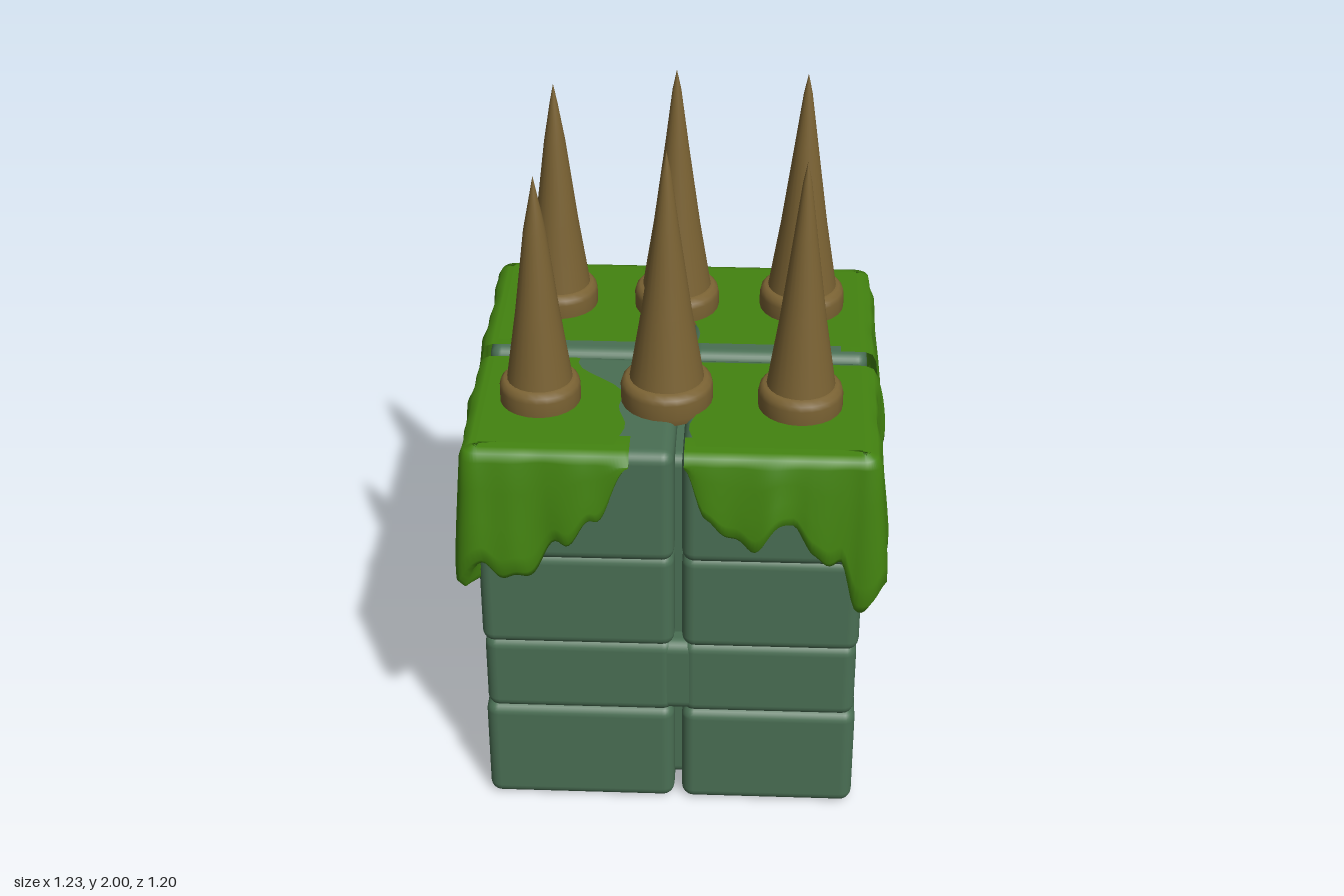
import * as THREE from 'three';
import { RoundedBoxGeometry } from 'three/addons/geometries/RoundedBoxGeometry.js';

const stone = new THREE.MeshStandardMaterial({ color: 0x4a6f54 });
stone.name = 'greenStone';
const moss = new THREE.MeshStandardMaterial({ color: 0x438310, side: THREE.DoubleSide });
moss.name = 'moss';
const horn = new THREE.MeshStandardMaterial({ color: 0x7a6233, side: THREE.DoubleSide });
horn.name = 'brownSpike';

function add(parent, name, geometry, material) {
  const mesh = new THREE.Mesh(geometry, material);
  mesh.name = name;
  parent.add(mesh);
  return mesh;
}

// Rounded block between two corners
function block(parent, name, x0, x1, y0, y1, z0, z1) {
  const geo = new RoundedBoxGeometry(x1 - x0, y1 - y0, z1 - z0, 3, 0.035);
  add(parent, name, geo, stone).position.set((x0 + x1) / 2, (y0 + y1) / 2, (z0 + z1) / 2);
}

// Height of a drip outline at u, eased between its points
function outline(points, u) {
  const i = Math.max(1, points.findIndex(p => p.x >= u));
  const a = points[i - 1], b = points[i];
  return a.y + (b.y - a.y) * THREE.MathUtils.smoothstep(u, a.x, b.x);
}

// Moss skirt hung around the outer corner of one column:
// faceZ runs [|x|, y] from the seam to the corner, faceX runs [|z|, y] back to the other seam
function skirt(sx, sz, faceZ, faceX) {
  const X = 0.575, Z = sz > 0 ? 0.565 : 0.55, r = 0.05, columns = 100;
  const points = [
    ...faceZ.map(([x, y]) => new THREE.Vector2(x, y)),
    ...faceX.map(([z, y]) => new THREE.Vector2(X + Z - z, y)),
  ];
  const start = points[0].x, end = points[points.length - 1].x;
  const positions = [], index = [];
  let rows = 0;
  for (let i = 0; i <= columns; i++) {
    const u = Math.min(end, start + (end - start) * i / columns);
    const edge = outline(points, u);
    const depth = Math.min(1, (1.24 - edge) / 0.3);
    const low = edge + 0.016 * depth * Math.sin(u * 63 + sx + sz);
    const x = Math.min(u, X), z = u < X ? Z : Z - (u - X);
    const cx = Math.min(x, X - r), cz = Math.min(z, Z - r);
    const len = Math.hypot(x - cx, z - cz);
    const nx = (x - cx) / len, nz = (z - cz) / len;
    const wave = 0.009 * Math.sin(u * 17 + sx * 2 + sz) + 0.006 * Math.sin(u * 41 + sz * 3);
    const bulge = 0.028 * depth + wave;
    const y = t => 1.21 + (low - 1.21) * t;
    const section = [
      [-0.1, 1.243], [-0.03, 1.242], [-0.008, 1.233], [0.002 + wave * 0.5, 1.21],
      [bulge * 0.4, y(0.25)], [bulge * 0.75, y(0.55)], [bulge, y(0.8)],
      [bulge, y(0.93)], [bulge * 0.6 - 0.008, y(1)], [-0.06, y(0.96)],
    ];
    rows = section.length;
    for (const [d, h] of section) {
      positions.push(sx * (cx + nx * (r + d)), h, sz * (cz + nz * (r + d)));
    }
  }
  for (let i = 0; i < columns; i++) {
    for (let j = 0; j < rows - 1; j++) {
      const a = i * rows + j, b = a + rows;
      if (sx * sz > 0) index.push(a, a + 1, b, b, a + 1, b + 1);
      else index.push(a, b, a + 1, b, b + 1, a + 1);
    }
  }
  const geo = new THREE.BufferGeometry();
  geo.setAttribute('position', new THREE.Float32BufferAttribute(positions, 3));
  geo.setIndex(index);
  geo.computeVertexNormals();
  return geo;
}

// Flat moss sheet on a column, its inner edge running from xNear (at the seam) to xFar
function sheet(sx, sz, xNear, xFar, zNear) {
  const shape = new THREE.Shape();
  shape.moveTo(sx * 0.53, -sz * 0.51);
  shape.lineTo(sx * 0.53, -sz * zNear);
  for (let i = 0; i <= 16; i++) {
    const t = i / 16;
    const x = xNear + (xFar - xNear) * THREE.MathUtils.smoothstep(t, 0, 0.5) + 0.012 * Math.sin(t * 14);
    shape.lineTo(sx * x, -sz * (zNear + (0.51 - zNear) * t));
  }
  return new THREE.ShapeGeometry(shape).rotateX(-Math.PI / 2).translate(0, 1.243, 0);
}

// Moss on one column: sheet on top, drips down its two outer faces
function mossCap(parent, name, sx, sz, [xNear, xFar, zNear], faceZ, faceX) {
  const cap = new THREE.Group();
  cap.name = name;
  parent.add(cap);
  add(cap, 'mossTop', sheet(sx, sz, xNear, xFar, zNear), moss);
  add(cap, 'mossDrips', skirt(sx, sz, faceZ, faceX), moss);
}

// Spike with a collar
function spike(parent, x, z, r, tip) {
  const group = new THREE.Group();
  group.name = 'spike';
  group.position.set(x, 0, z);
  parent.add(group);
  const lathe = pts => new THREE.LatheGeometry(pts.map(([a, b]) => new THREE.Vector2(a, b)), 24);
  add(group, 'spikeCollar', lathe([[r * 0.96, 1.22], [r, 1.24], [r, 1.285], [r * 0.97, 1.3],
    [r * 0.88, 1.312], [r * 0.7, 1.312]]), horn);
  add(group, 'spikeCone', lathe([[r * 0.82, 1.3], [r * 0.54, 1.52], [r * 0.27, 1.77],
    [r * 0.1, tip - 0.06], [0, tip]]), horn);
}

export function createModel() {
  const model = new THREE.Group();
  model.name = 'mossySpikeBlock';

  // Four columns of four stone blocks, around a recessed core
  const body = new THREE.Group();
  body.name = 'stoneBody';
  model.add(body);
  for (const [y0, y1, w] of [[0.005, 0.345, 0.54], [0.33, 0.585, 0.535], [0.57, 0.89, 0.54], [0.875, 1.237, 0.552]]) {
    for (const [x0, x1] of [[-w, 0.012], [0.034, w]]) {
      block(body, 'stoneBlock', x0, x1, y0, y1, 0.017, w);
      block(body, 'stoneBlock', x0, x1, y0, y1, 0.018 - w, 0.004);
    }
  }
  block(body, 'stoneCore', -0.47, 0.47, 0.04, 1.18, -0.46, 0.47);
  block(body, 'stoneBridge', -0.14, 0.14, 0.335, 0.58, -0.515, 0.532);

  // Moss caps
  mossCap(model, 'frontRightMoss', -1, 1, [0.28, 0.14, 0.05],
    [[0.11, 1.21], [0.21, 1.02], [0.3, 0.95], [0.42, 0.83], [0.52, 0.87]],
    [[0.53, 0.78], [0.48, 0.87], [0.42, 0.78], [0.28, 0.86], [0.05, 1.15]]);
  mossCap(model, 'frontLeftMoss', 1, 1, [0.05, 0.06, 0.06],
    [[0.04, 1.2], [0.1, 1.03], [0.22, 0.95], [0.34, 1.04], [0.4, 0.92], [0.47, 0.91], [0.52, 0.75]],
    [[0.53, 0.79], [0.4, 0.86], [0.28, 0.88], [0.2, 0.82], [0.15, 1.02], [0.06, 1.18]]);
  mossCap(model, 'backLeftMoss', 1, -1, [0.05, 0.05, 0.05],
    [[0.04, 1.2], [0.12, 0.85], [0.26, 1.07], [0.36, 0.9], [0.43, 0.98], [0.49, 0.84]],
    [[0.53, 0.88], [0.45, 0.74], [0.37, 0.75], [0.29, 0.94], [0.18, 0.95], [0.12, 0.83], [0.02, 0.98]]);
  mossCap(model, 'backRightMoss', -1, -1, [0.04, 0.12, 0.05],
    [[0.11, 1.2], [0.26, 0.84], [0.31, 0.9], [0.36, 0.77], [0.41, 0.85], [0.46, 0.75]],
    [[0.5, 0.77], [0.42, 0.84], [0.36, 0.76], [0.28, 0.87], [0.15, 0.84], [0.02, 1.05]]);

  // Six spikes: x, z, collar radius, tip height
  spike(model, -0.37, -0.29, 0.116, 1.95);
  spike(model, -0.015, -0.29, 0.126, 2);
  spike(model, 0.36, -0.3, 0.126, 1.99);
  spike(model, -0.375, 0.27, 0.114, 1.93);
  spike(model, -0.02, 0.25, 0.13, 2);
  spike(model, 0.355, 0.275, 0.119, 1.99);
  return model;
}
